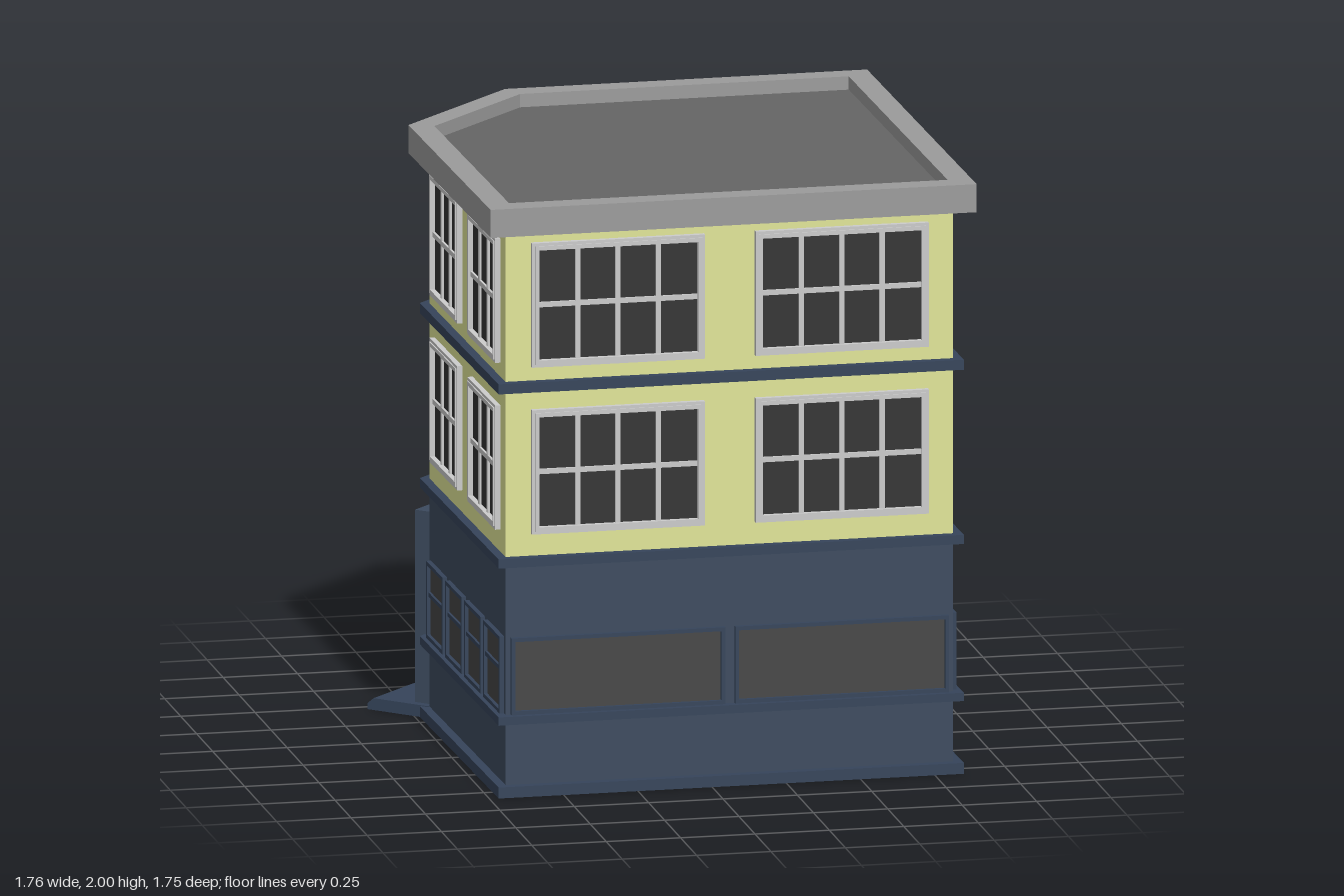
import * as THREE from 'three';

const mat = (color) => new THREE.MeshStandardMaterial({ color });
const M = {
  plaster: mat(0xe0e598), blue: mat(0x3c4a5e), trim: mat(0x35445a), inner: mat(0x4a5f7d),
  glass: mat(0x333333), shopGlass: mat(0x464646), frame: mat(0xcccccc),
  parapet: mat(0x9b9b9b), roof: mat(0x656565), door: mat(0x6e523f),
};

// Plan of the outer walls as [x, z]: four slightly skewed sides and a cut corner
const PLAN = [[0.817, 0.795], [-0.69, 0.81], [-0.704, -0.312], [-0.326, -0.698], [0.802, -0.712]];

// Wall sides: middle, length and outward normal
const SIDES = PLAN.map(([ax, az], i) => {
  const [bx, bz] = PLAN[(i + 1) % PLAN.length];
  const len = Math.hypot(bx - ax, bz - az);
  return { x: (ax + bx) / 2, z: (az + bz) / 2, len, nx: (bz - az) / len, nz: (ax - bx) / len };
});

// Plan moved outward by d, with mitred corners, as counter-clockwise shape points (x, -z)
function outline(d) {
  return PLAN.map(([x, z], i) => {
    const a = SIDES[(i + PLAN.length - 1) % PLAN.length], b = SIDES[i];
    const k = d / (1 + a.nx * b.nx + a.nz * b.nz);
    return new THREE.Vector2(x + (a.nx + b.nx) * k, -(z + (a.nz + b.nz) * k));
  }).reverse();
}

// Storey-shaped solid, or a ring when an inner offset is given
function storey(parent, name, material, y0, y1, outer, inner) {
  const shape = new THREE.Shape(outline(outer));
  if (inner !== undefined) shape.holes.push(new THREE.Path(outline(inner)));
  const geo = new THREE.ExtrudeGeometry(shape, { depth: y1 - y0, bevelEnabled: false });
  geo.rotateX(-Math.PI / 2).translate(0, y0, 0);
  const mesh = new THREE.Mesh(geo, material);
  mesh.name = name;
  parent.add(mesh);
}

// Box centred on x, y and spanning z0..z1
function box(parent, name, material, x, y, w, h, z0, z1) {
  const mesh = new THREE.Mesh(new THREE.BoxGeometry(w, h, z1 - z0), material);
  mesh.position.set(x, y, (z0 + z1) / 2);
  mesh.name = name;
  parent.add(mesh);
}

// Centred rectangular frame with border t, spanning z0..z1
function frame(parent, name, material, w, h, t, z0, z1) {
  const rect = (C, a, b) => new C([[-a, -b], [a, -b], [a, b], [-a, b]].map((p) => new THREE.Vector2(...p)));
  const shape = rect(THREE.Shape, w / 2, h / 2);
  shape.holes.push(rect(THREE.Path, w / 2 - t, h / 2 - t));
  const mesh = new THREE.Mesh(new THREE.ExtrudeGeometry(shape, { depth: z1 - z0, bevelEnabled: false }), material);
  mesh.position.z = z0;
  mesh.name = name;
  parent.add(mesh);
}

function upperWindow(wall, x, y, w, cols, rows) {
  const g = new THREE.Group(), h = 0.42;
  g.name = 'upperWindow';
  g.position.set(x, y, 0);
  frame(g, 'windowCasing', M.frame, w, h, 0.01, -0.005, 0.018);
  frame(g, 'windowFrame', M.frame, w - 0.02, h - 0.02, 0.014, -0.005, 0.022);
  box(g, 'windowGlass', M.glass, 0, 0, w - 0.03, h - 0.03, -0.005, 0.004);
  for (let c = 1; c < cols; c++) box(g, 'glazingBar', M.frame, (c / cols - 0.5) * (w - 0.04), 0, 0.017, h - 0.04, 0, 0.012);
  for (let r = 1; r < rows; r++) box(g, 'glazingBar', M.frame, 0, (r / rows - 0.5) * (h - 0.04), w - 0.04, 0.017, 0, 0.012);
  wall.add(g);
}

function shopWindow(wall, x, w, transom) {
  const g = new THREE.Group(), h = 0.26;
  g.name = 'shopWindow';
  g.position.set(x, 0.405, 0);
  frame(g, 'shopFrame', M.trim, w, h, 0.013, -0.005, 0.016);
  box(g, 'shopGlass', M.shopGlass, 0, 0, w - 0.02, h - 0.02, -0.005, 0.004);
  if (transom) box(g, 'transom', M.trim, 0, 0.02, w - 0.02, 0.014, 0, 0.012);
  // Back of the window inside the hollow ground floor
  frame(g, 'innerFrame', M.trim, w, h, 0.01, -0.026, -0.01);
  box(g, 'innerPanel', M.inner, 0, 0, w - 0.02, h - 0.02, -0.021, -0.01);
  wall.add(g);
}

function entrance(wall) {
  const g = new THREE.Group();
  g.name = 'entrance';
  for (const s of [-1, 1]) {
    box(g, 'doorPilaster', M.blue, s * 0.207, 0.345, 0.09, 0.69, 0, 0.068);
    box(g, 'doorJamb', M.trim, s * 0.151, 0.325, 0.024, 0.59, 0, 0.048);
  }
  box(g, 'doorLintel', M.blue, 0, 0.655, 0.326, 0.07, 0, 0.068);
  box(g, 'doorHead', M.trim, 0, 0.61, 0.326, 0.02, 0, 0.048);
  box(g, 'door', M.door, 0, 0.32, 0.278, 0.56, 0, 0.034);
  box(g, 'doorGlass', M.glass, 0, 0.465, 0.235, 0.18, 0.03, 0.04);
  // Doorstep with a chamfered outer edge
  const profile = new THREE.Shape([[0, 0], [0.235, 0], [0.235, 0.02], [0.211, 0.04], [0, 0.04]]
    .map((p) => new THREE.Vector2(...p)));
  const geo = new THREE.ExtrudeGeometry(profile, { depth: 0.562, bevelEnabled: false });
  geo.translate(0, 0, -0.281).rotateY(-Math.PI / 2);
  const step = new THREE.Mesh(geo, M.trim);
  step.name = 'doorstep';
  g.add(step);
  wall.add(g);
}

export function createModel() {
  const model = new THREE.Group();
  model.name = 'cornerBuilding';

  // Shell: hollow ground floor, solid upper floors, roof and parapet
  storey(model, 'groundFloorWalls', M.blue, 0, 0.8, 0, -0.015);
  storey(model, 'upperFloors', M.plaster, 0.8, 1.92, 0);
  storey(model, 'roofDeck', M.roof, 1.92, 1.955, -0.005);
  storey(model, 'parapet', M.parapet, 1.905, 2.0, 0.065, -0.015);

  // Ledges running round the building
  for (const [name, y0, y1] of [['plinth', 0, 0.037], ['sill', 0.246, 0.274], ['shopCornice', 0.777, 0.808], ['floorBand', 1.366, 1.4]])
    storey(model, name, M.trim, y0, y1, 0.03, -0.01);

  // Fittings on each wall, placed in a frame whose +z points outward
  const names = ['frontWall', 'rightSideWall', 'cornerWall', 'backWall', 'leftSideWall'];
  SIDES.forEach((s, i) => {
    const wall = new THREE.Group();
    wall.name = names[i];
    wall.position.set(s.x, 0, s.z);
    wall.rotation.y = Math.atan2(s.nx, s.nz);
    const corner = i === 2, long = i === 0 || i === 4;
    for (const y of [1.093, 1.657]) {
      if (corner) upperWindow(wall, 0, y, 0.365, 2, 1);
      else for (const m of [-1, 1]) upperWindow(wall, m * s.len / 4, y, long ? 0.583 : 0.41, long ? 4 : 3, 2);
    }
    if (corner) entrance(wall);
    else {
      const n = long ? 2 : 4;
      for (let k = 0; k < n; k++) shopWindow(wall, ((k + 0.5) / n - 0.5) * s.len, long ? 0.72 : 0.24, !long);
    }
    model.add(wall);
  });
  return model;
}
